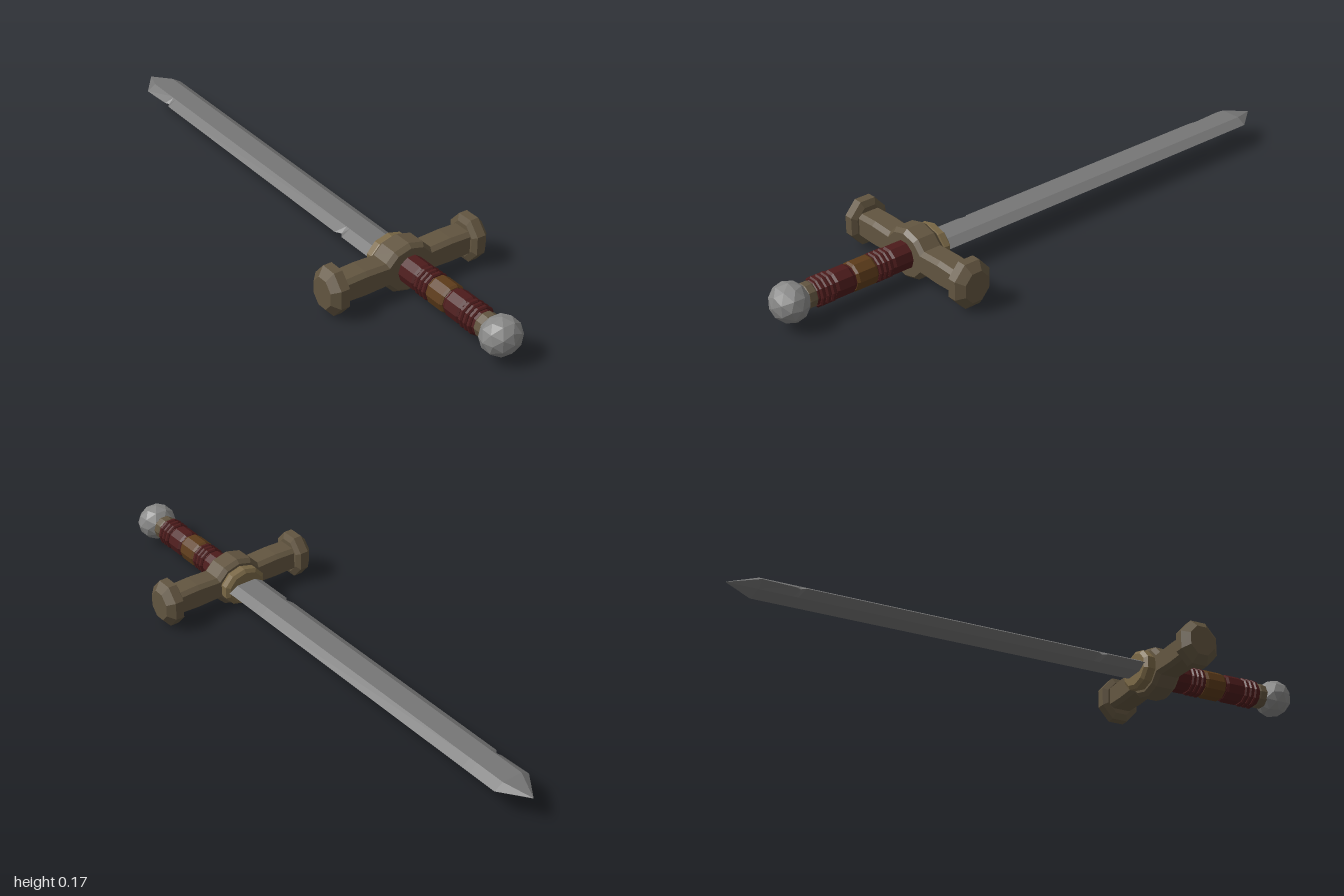
import * as THREE from 'three';

const CY = 0.087; // height of the long axis

const mat = (name, color) => {
  const m = new THREE.MeshStandardMaterial({ color });
  m.name = name;
  return m;
};

// Faceted normals for the low-poly look
const flat = (g) => {
  const f = g.index ? g.toNonIndexed() : g;
  f.computeVertexNormals();
  return f;
};

// Faceted solid of revolution from [radius, distance] pairs, closed at both ends
function turned(profile, sides, turn = 0) {
  const pts = [[0, profile[0][1]], ...profile, [0, profile[profile.length - 1][1]]];
  return new THREE.LatheGeometry(pts.map(([r, d]) => new THREE.Vector2(r, d)), sides, turn);
}

// Blade made of six-sided sections: [z, left edge, right edge, ridge half width, half thickness]
function bladeGeometry() {
  const w = 0.067, r = 0.036, t = 0.019;
  const rows = [
    [0.43, -w, w, r, t], [0.262, -w, w, r, t], [0.245, -0.055, w, r, t],
    [0.225, -w, w, r, t], [-0.77, -w, w, r, t], [-0.785, -0.055, w, r, t],
    [-0.8, -0.062, w, r, t], [-0.91, -w, w, r, t], [-1, -0.001, 0.001, 0.0005, 0.001],
  ];
  const pos = [], idx = [];
  for (const [z, l, e, k, h] of rows) {
    for (const [x, y] of [[l, 0], [-k, h], [k, h], [e, 0], [k, -h], [-k, -h]]) pos.push(x, y, z);
  }
  for (let j = 0; j < rows.length - 1; j++) {
    for (let i = 0; i < 6; i++) {
      const a = j * 6 + i, b = j * 6 + (i + 1) % 6;
      idx.push(a, b, a + 6, b, b + 6, a + 6);
    }
  }
  const g = new THREE.BufferGeometry();
  g.setAttribute('position', new THREE.Float32BufferAttribute(pos, 3));
  g.setIndex(idx);
  return g;
}

// Crossguard: two arms with a rounded boss, bevelled all round
function guardGeometry() {
  const half = [[0.24, 0.04], [0.16, 0.043], [0.083, 0.04], [0.053, 0.07], [0, 0.084]];
  const top = [...half, ...half.slice(0, -1).reverse().map(([x, y]) => [-x, y])];
  const outline = [...top, ...top.map(([x, y]) => [-x, -y])];
  const shape = new THREE.Shape(outline.map(([x, y]) => new THREE.Vector2(x, y)));
  const g = new THREE.ExtrudeGeometry(shape, {
    depth: 0.061, bevelEnabled: true, bevelSegments: 1,
    bevelSize: 0.012, bevelOffset: -0.012, bevelThickness: 0.014,
  });
  return g.translate(0, 0, 0.448);
}

export function createModel() {
  const group = new THREE.Group();
  group.name = 'sword';
  const steel = mat('blade steel', 0x767676);
  const pommelGrey = mat('pommel grey', 0x878786);
  const bronze = mat('guard bronze', 0x625540);
  const gold = mat('collar gold', 0x7a6846);
  const red = mat('red leather', 0x4c1b1b);
  const brown = mat('brown leather', 0x5c3b1a);

  const add = (name, geometry, material) => {
    const m = new THREE.Mesh(flat(geometry), material);
    m.name = name;
    m.position.y = CY;
    group.add(m);
    return m;
  };

  // Blade and guard
  add('blade', bladeGeometry(), steel);
  add('crossguard', guardGeometry(), bronze);

  // Stepped oval collar at the blade root
  add('bladeCollar', turned([[0.066, 0.396], [0.08, 0.405], [0.08, 0.425], [0.07, 0.455]], 10)
    .rotateX(Math.PI / 2).scale(1, 0.82, 1), gold);

  // Octagonal caps on the guard ends
  for (const side of [1, -1]) {
    const cap = turned([[0.06, 0.23], [0.081, 0.24], [0.081, 0.27], [0.053, 0.293]], 8, Math.PI / 8);
    cap.rotateZ(-side * Math.PI / 2).scale(1, 1, 0.88).translate(0, 0, 0.478);
    add(side > 0 ? 'leftGuardCap' : 'rightGuardCap', cap, bronze);
  }

  // Grip: [name, start z, end z, radius, material]
  const grip = [
    ['gripCore', 0.5, 0.87, 0.041, red],
    ['frontWrap', 0.515, 0.592, 0.047, red],
    ['middleBand', 0.65, 0.727, 0.048, brown],
    ['rearWrap', 0.732, 0.8, 0.047, red],
    ['gripNeck', 0.862, 0.9, 0.042, bronze],
  ];
  for (const z of [0.595, 0.613, 0.631, 0.803, 0.822, 0.841]) {
    grip.push(['wrapRing', z, z + 0.016, 0.049, red]);
  }
  for (const [name, a, b, r, m] of grip) {
    const c = Math.min(0.008, (b - a) / 4);
    add(name, turned([[r - 0.005, a], [r, a + c], [r, b - c], [r - 0.005, b]], 10, Math.PI / 10)
      .rotateX(Math.PI / 2), m);
  }

  // Faceted ball pommel
  add('pommel', new THREE.IcosahedronGeometry(1, 1).scale(0.068, 0.063, 0.061)
    .translate(0, 0.001, 0.94), pommelGrey);

  return group;
}
